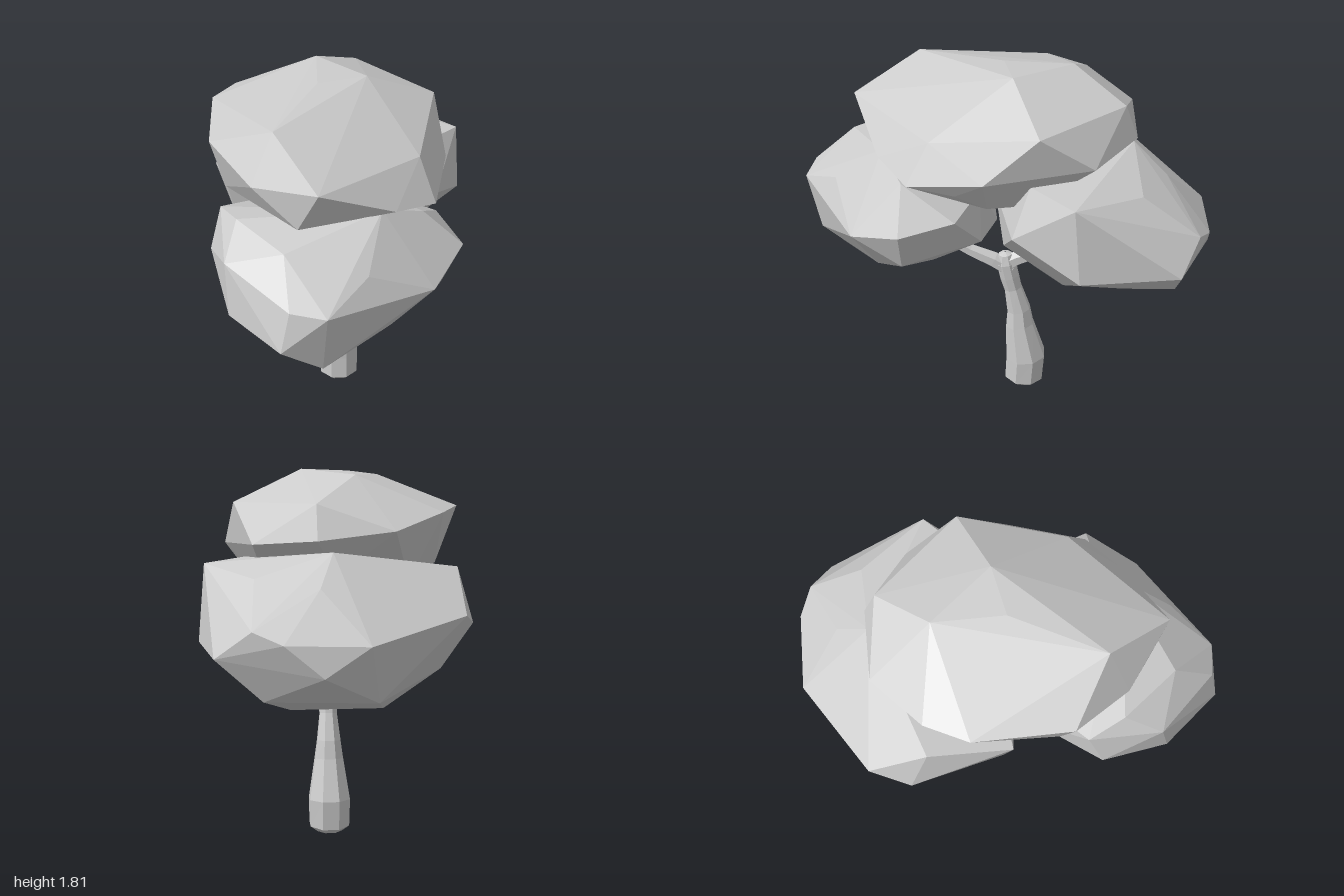
import * as THREE from 'three';
import { ConvexGeometry } from 'three/addons/geometries/ConvexGeometry.js';

const material = new THREE.MeshStandardMaterial({ color: 0xcccccc, flatShading: true });

// Faceted leaf mass wrapped around a few corner points
function clump(name, corners) {
  const geometry = new ConvexGeometry(corners.map((c) => new THREE.Vector3(...c)));
  const mesh = new THREE.Mesh(geometry, material);
  mesh.name = name;
  return mesh;
}

// Tapered limb through stations [y, z, radius], bending in the yz plane
function limb(name, stations, sides) {
  const positions = [];
  const index = [];
  stations.forEach(([y, z, r], i) => {
    const before = stations[Math.max(i - 1, 0)];
    const after = stations[Math.min(i + 1, stations.length - 1)];
    const t = new THREE.Vector2(after[0] - before[0], after[1] - before[1]).normalize();
    for (let j = 0; j < sides; j++) {
      const a = ((j + 0.5) / sides) * Math.PI * 2;
      const s = Math.sin(a) * r;
      positions.push(Math.cos(a) * r, y + s * t.y, z - s * t.x);
      if (i === 0) continue;
      const k = (j + 1) % sides;
      const low = (i - 1) * sides;
      const high = i * sides;
      index.push(low + j, low + k, high + k, low + j, high + k, high + j);
    }
  });
  const geometry = new THREE.BufferGeometry();
  geometry.setAttribute('position', new THREE.Float32BufferAttribute(positions, 3));
  geometry.setIndex(index);
  const flat = geometry.toNonIndexed();
  flat.computeVertexNormals();
  const mesh = new THREE.Mesh(flat, material);
  mesh.name = name;
  return mesh;
}

export function createModel() {
  const tree = new THREE.Group();
  tree.name = 'tree';

  // Trunk with a swollen foot, leaning forward to the fork
  tree.add(limb('trunk', [
    [0, -0.11, 0.005], [0.012, -0.11, 0.065], [0.045, -0.11, 0.105],
    [0.18, -0.118, 0.108], [0.38, -0.085, 0.075], [0.47, -0.08, 0.062],
    [0.6, -0.05, 0.046], [0.67, -0.032, 0.05], [0.75, -0.015, 0.05],
    [0.8, -0.01, 0.035], [0.81, -0.01, 0.005],
  ], 8));

  // Fork branches reaching into the leaves
  tree.add(limb('frontBranch', [
    [0.71, -0.04, 0.045], [0.765, 0.05, 0.043], [0.82, 0.17, 0.033],
    [0.89, 0.29, 0.026], [1, 0.42, 0.015],
  ], 6));
  tree.add(limb('backBranch', [
    [0.73, 0.01, 0.045], [0.775, -0.07, 0.04], [0.815, -0.18, 0.032],
    [0.86, -0.3, 0.024], [0.95, -0.42, 0.015],
  ], 6));
  tree.add(limb('twig', [
    [0.83, 0.19, 0.018], [0.89, 0.235, 0.014], [0.97, 0.25, 0.01],
  ], 6));

  // Upper leaf mass
  tree.add(clump('topFoliage', [
    [0.13, 1.81, -0.05], [-0.1, 1.8, 0], [-0.1, 1.79, -0.33], [-0.3, 1.77, 0.42],
    [-0.11, 1.62, 0.72], [0.35, 1.585, 0.32], [0.23, 1.45, 0.57], [0.42, 1.4, 0.42],
    [0.46, 1.66, -0.18], [0.5, 1.45, 0.07], [0.38, 1.48, -0.43], [0.1, 1.67, -0.57],
    [0.1, 1.51, -0.63], [-0.25, 1.55, -0.62], [-0.5, 1.62, -0.4], [-0.6, 1.64, -0.2],
    [-0.59, 1.64, 0.25], [-0.4, 1.55, 0.51], [-0.2, 1.41, 0.64], [-0.53, 1.38, 0.2],
    [0.43, 1.36, 0.2], [-0.5, 1.37, -0.2], [0, 1.34, -0.48], [0.36, 1.26, 0.06],
    [0.3, 1.25, -0.15], [0, 1.21, 0.1], [-0.35, 1.27, 0.05], [-0.15, 1.3, 0.45],
    [-0.35, 1.3, -0.35],
  ]));

  // Leaf mass over the front branch
  tree.add(clump('frontFoliage', [
    [-0.28, 1.02, 1], [-0.1, 0.88, 0.93], [-0.08, 1.18, 0.985], [-0.24, 1.2, 0.96],
    [-0.52, 1.27, 0.68], [-0.51, 1.03, 0.73], [-0.6, 1.17, 0.4], [-0.55, 1.35, 0.33],
    [-0.47, 1.385, 0.5], [-0.26, 1.365, 0.76], [0.17, 1.455, 0.56], [0.1, 1.27, 0.8],
    [0.4, 1.12, 0.69], [0.36, 1.38, 0.45], [0.55, 1.2, 0.45], [0.46, 1, 0.45],
    [0.22, 0.865, 0.6], [-0.22, 0.855, 0.6], [-0.4, 0.93, 0.55], [0.2, 0.88, 0.33],
    [-0.25, 0.88, 0.3], [0, 1, 0.03], [0.3, 1.05, 0.09], [-0.35, 1.05, 0.1],
    [0.45, 1.23, 0.2], [0.2, 1.27, 0.1], [-0.3, 1.27, 0.1], [0, 1.38, 0.4],
  ]));

  // Leaf mass over the back branch
  tree.add(clump('backFoliage', [
    [-0.1, 1.1, -0.98], [0.27, 1.11, -0.98], [0.1, 0.97, -1], [0.4, 1.16, -0.92],
    [0.56, 1.03, -0.83], [0.35, 0.84, -0.83], [-0.15, 0.83, -0.85], [0.22, 0.75, -0.6],
    [-0.2, 0.75, -0.6], [0.63, 1.03, -0.37], [0.6, 1.39, -0.34], [0.38, 1.35, -0.65],
    [0.03, 1.46, -0.62], [0.1, 1.32, -0.78], [-0.18, 1.27, -0.74], [-0.56, 1.18, -0.68],
    [-0.63, 1.12, -0.49], [-0.57, 1.37, -0.4], [-0.47, 0.92, -0.55], [0.48, 1.17, -0.06],
    [0.4, 1.4, -0.14], [-0.55, 1.3, -0.01], [-0.5, 1.05, -0.05], [0.2, 0.97, -0.01],
    [-0.25, 0.97, 0], [0, 1.17, 0.04], [0.4, 0.88, -0.3], [-0.35, 0.85, -0.25],
  ]));

  return tree;
}
